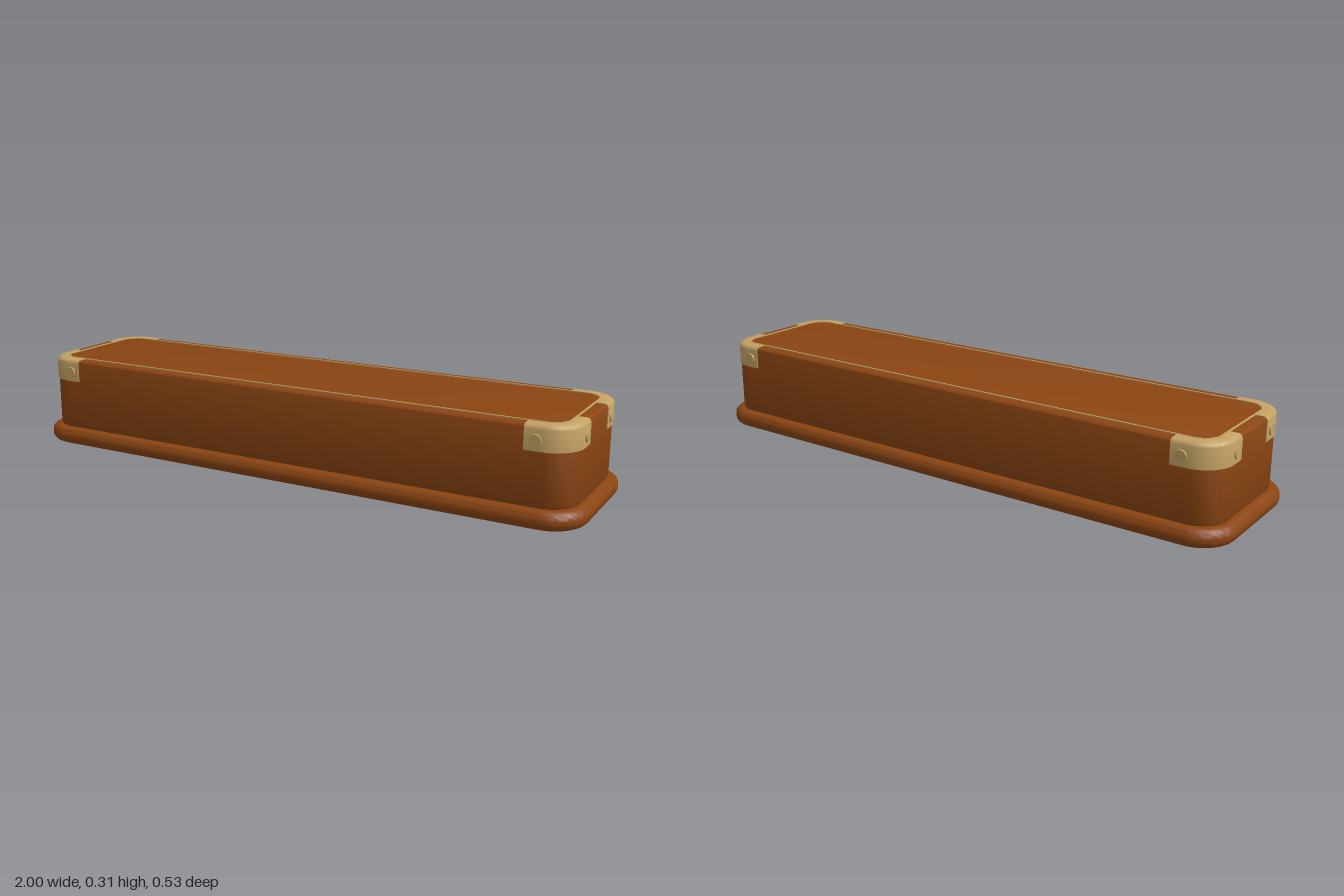
import * as THREE from 'three';
import { toCreasedNormals } from 'three/addons/utils/BufferGeometryUtils.js';

const leather = new THREE.MeshStandardMaterial({ color: 0x8b4513 });
leather.name = 'saddle brown';
const brass = new THREE.MeshStandardMaterial({ color: 0xc4a265 });
brass.name = 'pale brass';

// Rounded rectangle outline centred on the origin
function roundedRect(path, hx, hz, r) {
  path.absarc(hx - r, hz - r, r, 0, Math.PI / 2);
  path.absarc(r - hx, hz - r, r, Math.PI / 2, Math.PI);
  path.absarc(r - hx, r - hz, r, Math.PI, Math.PI * 1.5);
  path.absarc(hx - r, r - hz, r, Math.PI * 1.5, Math.PI * 2);
  path.closePath();
  return path;
}

// Flat-lying slab with rounded corners and rounded rims
function slab(hx, hz, r, y0, y1, bevel) {
  const shape = roundedRect(new THREE.Shape(), hx - bevel, hz - bevel, r - bevel);
  const geo = new THREE.ExtrudeGeometry(shape, {
    depth: y1 - y0 - 2 * bevel, bevelThickness: bevel, bevelSize: bevel,
    bevelSegments: 5, curveSegments: 10,
  });
  geo.rotateX(-Math.PI / 2).translate(0, y0 + bevel, 0);
  return toCreasedNormals(geo, 0.7);
}

function mesh(name, geo, material) {
  const m = new THREE.Mesh(geo, material);
  m.name = name;
  return m;
}

// Corner bracket: a wrapped-over section swept round a quarter turn with straight arms
const R = 0.1, ARM = 0.05;
function bracketGeometry() {
  const section = [
    [0, 0.23], [0, 0.295], [-0.003, 0.303], [-0.011, 0.308],
    [-0.04, 0.308], [-0.04, 0.304], [-0.013, 0.3], [-0.013, 0.23],
  ];
  const stations = [[0, 0, -ARM]];
  const steps = 12;
  for (let i = 0; i <= steps; i++) stations.push([(i / steps) * Math.PI / 2, 0, 0]);
  stations.push([Math.PI / 2, -ARM, 0]);

  const pos = [], idx = [], n = section.length;
  for (const [a, ox, oz] of stations) {
    for (const [d, y] of section) {
      pos.push(ox + Math.cos(a) * (R + d), y, oz + Math.sin(a) * (R + d));
    }
  }
  for (let i = 0; i < stations.length - 1; i++) {
    for (let j = 0; j < n; j++) {
      const a = i * n + j, b = i * n + (j + 1) % n;
      idx.push(a, b, a + n, b, b + n, a + n);
    }
  }
  // End caps
  const last = (stations.length - 1) * n;
  const outline = section.map(([d, y]) => new THREE.Vector2(d, y));
  for (const [a, b, c] of THREE.ShapeUtils.triangulateShape(outline, [])) {
    idx.push(a, c, b, last + a, last + b, last + c);
  }
  const geo = new THREE.BufferGeometry();
  geo.setAttribute('position', new THREE.Float32BufferAttribute(pos, 3));
  geo.setIndex(idx);
  return toCreasedNormals(geo, 0.7);
}

export function createModel() {
  const model = new THREE.Group();
  model.name = 'case';

  // Flared base rim and main body
  model.add(mesh('base', slab(1, 0.267, 0.12, 0, 0.06, 0.026), leather));
  model.add(mesh('body', slab(0.969, 0.238, 0.098, 0.056, 0.306, 0.012), leather));

  // Thin brass line inlaid round the top
  const line = roundedRect(new THREE.Shape(), 0.933, 0.201, 0.062);
  line.holes.push(roundedRect(new THREE.Path(), 0.927, 0.195, 0.056));
  const inlay = new THREE.ExtrudeGeometry(line, { depth: 0.005, bevelEnabled: false, curveSegments: 10 });
  inlay.rotateX(-Math.PI / 2).translate(0, 0.304, 0);
  model.add(mesh('topInlay', inlay, brass));

  // Four corner brackets, each with a rivet on either arm
  const bracketGeo = bracketGeometry();
  const rivetGeo = new THREE.CylinderGeometry(0.018, 0.02, 0.01, 20);
  const corners = [[1, 1], [1, -1], [-1, -1], [-1, 1]];
  corners.forEach(([sx, sz], k) => {
    const corner = new THREE.Group();
    corner.name = 'cornerBracket' + (k + 1);
    corner.add(mesh('bracket', bracketGeo, brass));

    const sideRivet = mesh('rivet', rivetGeo, brass);
    sideRivet.rotation.z = -Math.PI / 2;
    sideRivet.position.set(R, 0.263, -0.016);
    const faceRivet = mesh('rivet', rivetGeo, brass);
    faceRivet.rotation.x = Math.PI / 2;
    faceRivet.position.set(-0.016, 0.263, R);
    corner.add(sideRivet, faceRivet);

    corner.position.set(sx * (0.972 - R), 0, sz * (0.2405 - R));
    corner.rotation.y = k * Math.PI / 2;
    model.add(corner);
  });
  return model;
}
